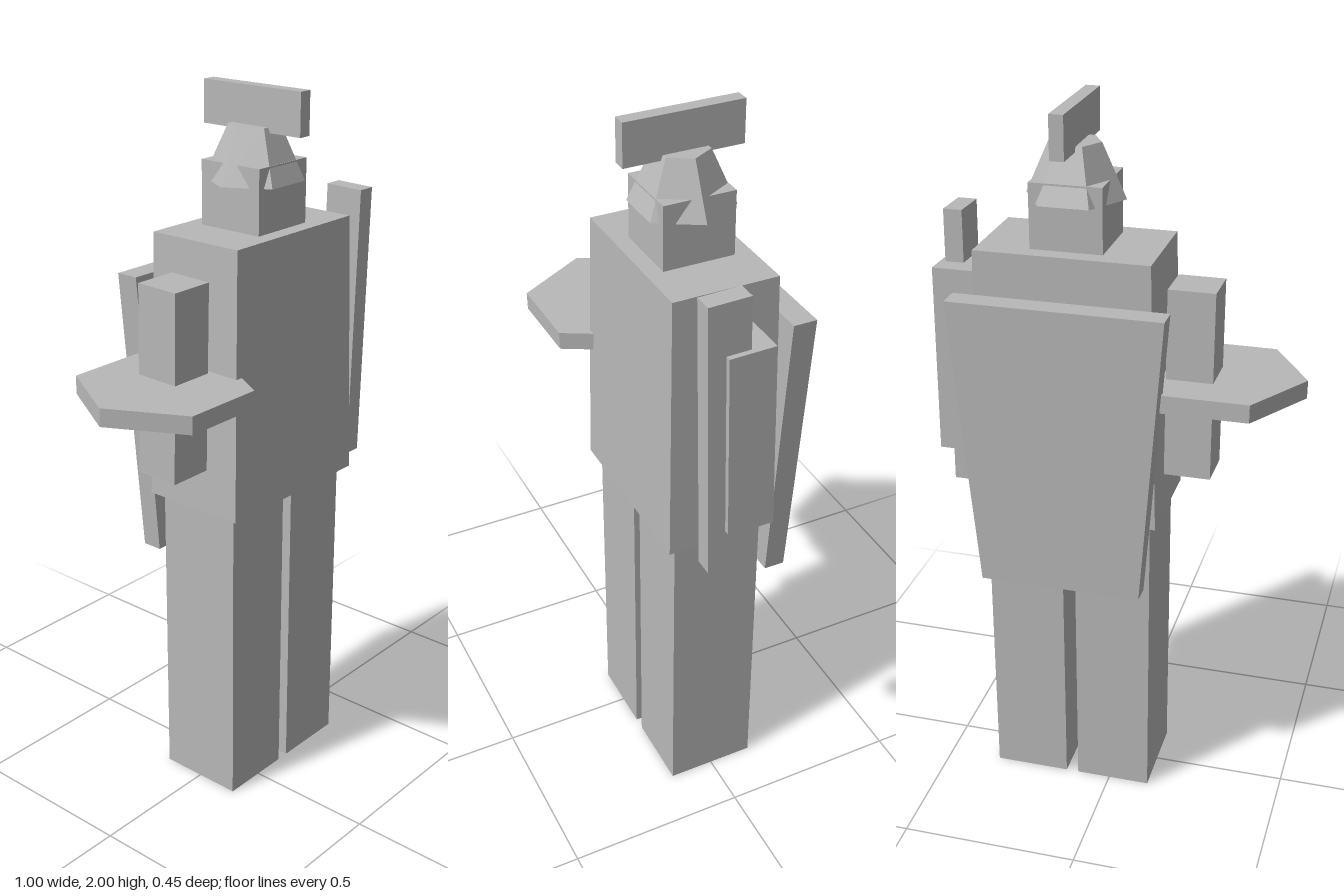
import * as THREE from 'three';

const stone = new THREE.MeshStandardMaterial({ color: 0xb8b8b8 });
stone.name = 'plainGrey';

// Box between y0 and y1 with [xMin, xMax, zMin, zMax] at the bottom and at the top.
function taperedBox(y0, y1, bottom, top = bottom) {
  const geo = new THREE.BoxGeometry(1, 1, 1);
  const p = geo.attributes.position;
  for (let i = 0; i < p.count; i++) {
    const r = p.getY(i) > 0 ? top : bottom;
    p.setXYZ(i, p.getX(i) > 0 ? r[1] : r[0], p.getY(i) > 0 ? y1 : y0, p.getZ(i) > 0 ? r[3] : r[2]);
  }
  const flat = geo.toNonIndexed();
  flat.computeVertexNormals();
  return flat;
}

// Six-sided prism or frustum with corners pointing along x.
function hexagon(rTop, rBottom, height) {
  const geo = new THREE.CylinderGeometry(rTop, rBottom, height, 6).rotateY(Math.PI / 6).toNonIndexed();
  geo.computeVertexNormals();
  return geo;
}

export function createModel() {
  const model = new THREE.Group();
  model.name = 'blockyWarrior';
  const add = (name, geo, x = 0, y = 0, z = 0, tilt = 0) => {
    const mesh = new THREE.Mesh(geo, stone);
    mesh.name = name;
    mesh.position.set(x, y, z);
    mesh.rotation.x = tilt;
    model.add(mesh);
  };
  const cx = 0.115; // body axis
  const tilt = 0.022; // slight lean of the arms and what they hold

  // Legs, arms
  for (const [side, s] of [['left', 1], ['right', -1]]) {
    add(side + 'Leg', new THREE.BoxGeometry(0.215, 0.89, 0.252), cx + s * 0.1255, 0.445, 0.001);
    add(side + 'Arm', new THREE.BoxGeometry(0.127, 0.525, 0.127), cx + s * 0.3215, 1.282, -0.004, tilt);
  }

  // Torso and cape
  add('torso', taperedBox(0.89, 1.635, [-0.14, 0.372, -0.155, 0.153], [-0.12, 0.352, -0.147, 0.14]));
  add('cape', taperedBox(0.7, 1.52, [-0.11, 0.34, -0.215, -0.157], [-0.175, 0.405, -0.227, -0.162]));

  // Head, helmet and crest
  add('head', new THREE.BoxGeometry(0.195, 0.175, 0.195), cx, 1.722, -0.002);
  add('helmet', hexagon(0.07, 0.135, 0.143), cx, 1.827, -0.002);
  add('crest', new THREE.BoxGeometry(0.038, 0.115, 0.323), cx + 0.001, 1.9425, 0.001);

  // Shield held flat in the right hand, blade in the left
  add('shield', hexagon(0.234, 0.234, 0.05), -0.271, 1.272, 0.023, tilt);
  add('blade', new THREE.BoxGeometry(0.052, 0.792, 0.115), 0.459, 1.292, 0.051, tilt);

  return model;
}
